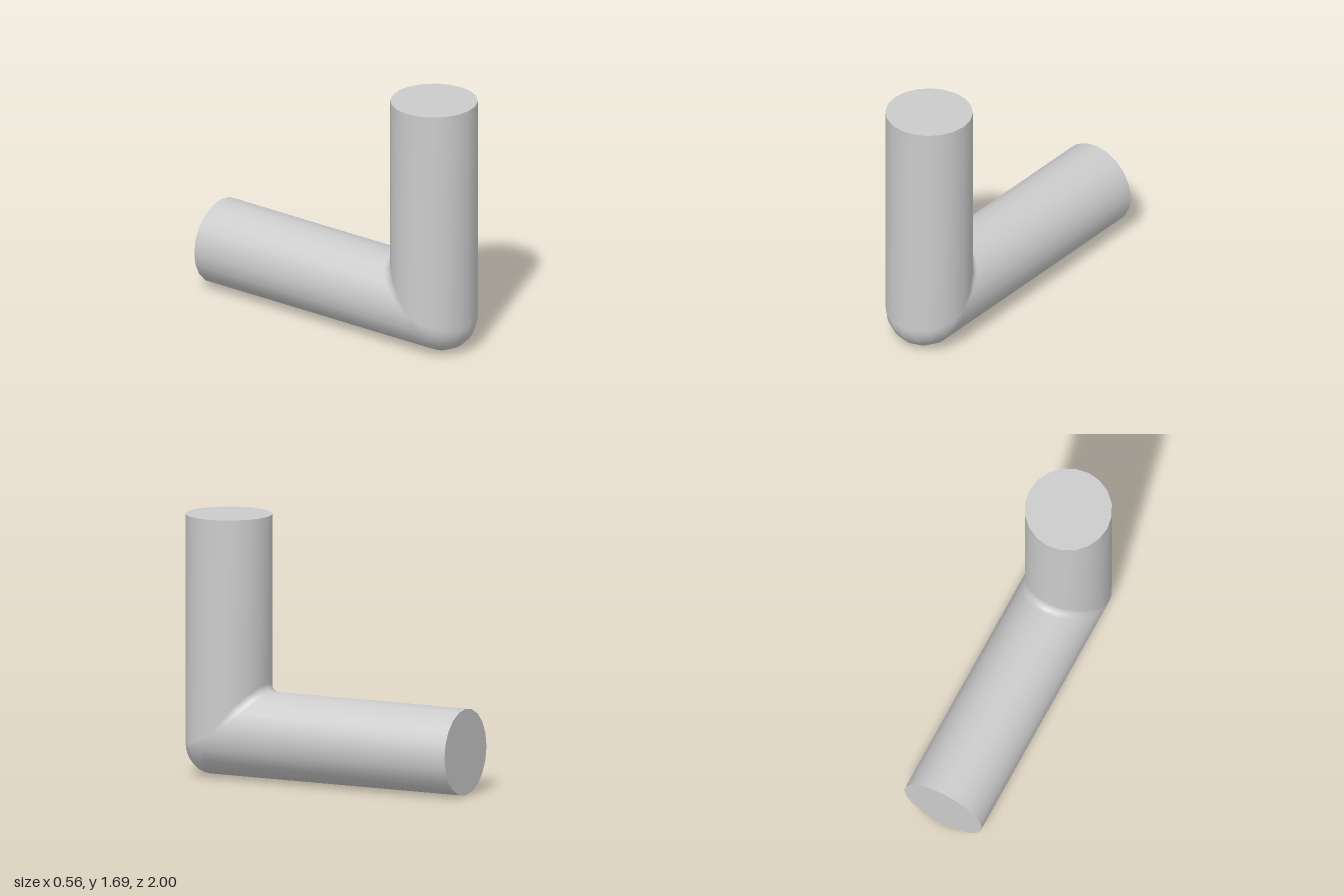
import * as THREE from 'three';

const R = 0.28, SIDES = 20, STEPS = 6;
const TOP = 1.69, BACK = -1, AXIS_Z = 0.72, AXIS_Y = 0.28;

// Tube skin: every lengthwise line runs down, turns the corner with its own
// bend radius (wide outside, tight inside, sharp at the sides) and runs back.
function elbowGeometry() {
  const pos = [], idx = [];
  const rows = STEPS + 3;
  for (let i = 0; i < rows; i++) {
    for (let j = 0; j < SIDES; j++) {
      const a = (j / SIDES) * Math.PI * 2, c = Math.cos(a);
      const x = R * Math.sin(a);
      const zc = AXIS_Z + R * c, yc = AXIS_Y - R * c;
      const bend = Math.max(0.003, c > 0 ? 0.19 * c : 0.05 * Math.min(1, -1.6 * c));
      const t = ((i - 1) / STEPS) * Math.PI / 2;
      if (i === 0) pos.push(x, TOP, zc);
      else if (i === rows - 1) pos.push(x, yc, BACK);
      else pos.push(x, yc + bend * (1 - Math.sin(t)), zc - bend * (1 - Math.cos(t)));
      if (i < rows - 1) {
        const p = i * SIDES + j, q = i * SIDES + (j + 1) % SIDES;
        idx.push(p, p + SIDES, q, q, p + SIDES, q + SIDES);
      }
    }
  }
  const g = new THREE.BufferGeometry();
  g.setAttribute('position', new THREE.Float32BufferAttribute(pos, 3));
  g.setIndex(idx);
  g.computeVertexNormals();
  return g;
}

export function createModel() {
  const group = new THREE.Group();
  group.name = 'pipeElbow';
  const material = new THREE.MeshStandardMaterial({ color: 0xcccccc });
  const add = (name, geometry) => {
    const mesh = new THREE.Mesh(geometry, material);
    mesh.name = name;
    group.add(mesh);
    return mesh;
  };

  add('elbowTube', elbowGeometry());

  // Flat end caps
  const cap = new THREE.CircleGeometry(R, SIDES);
  const top = add('topCap', cap);
  top.rotation.x = -Math.PI / 2;
  top.position.set(0, TOP, AXIS_Z);
  const back = add('backCap', cap);
  back.rotation.y = Math.PI;
  back.position.set(0, AXIS_Y, BACK);

  return group;
}
